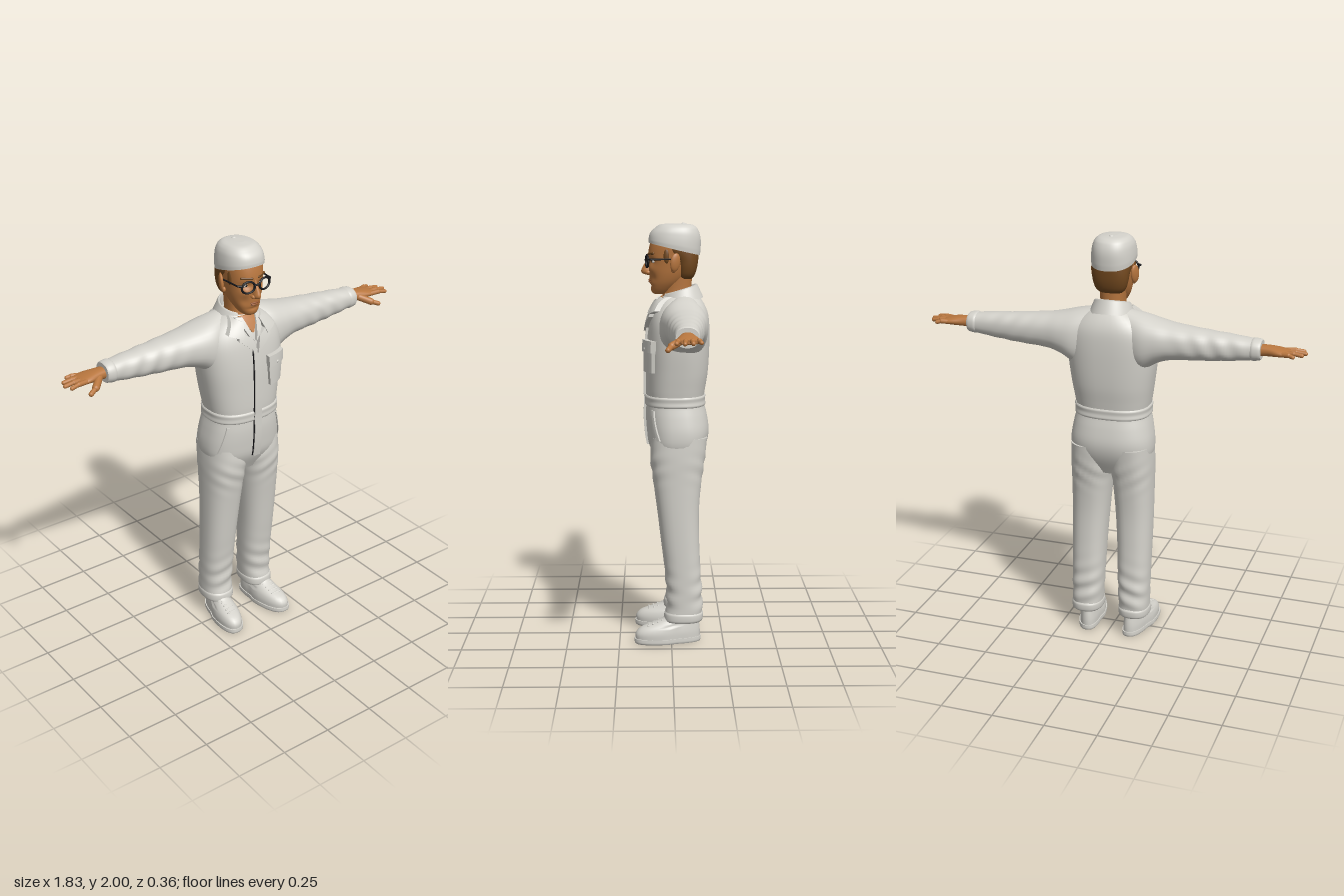
import * as THREE from 'three';
import { mergeVertices } from 'three/addons/utils/BufferGeometryUtils.js';

const mat = (name, color, side = THREE.FrontSide) => {
  const m = new THREE.MeshStandardMaterial({ color, side });
  m.name = name;
  return m;
};

// Smooth value of each key column at position t (keys ascending in column 0)
function sample(keys, t) {
  const n = keys.length;
  let i = 0;
  while (i < n - 2 && t > keys[i + 1][0]) i++;
  const a = keys[i], b = keys[i + 1], h = b[0] - a[0];
  const s = Math.min(1, Math.max(0, (t - a[0]) / h));
  const slope = (k, c) => {
    const p = keys[Math.max(0, k - 1)], q = keys[Math.min(n - 1, k + 1)];
    return (q[c] - p[c]) / (q[0] - p[0]);
  };
  return a.map((v, c) => c === 0 ? t :
    v * (2 * s ** 3 - 3 * s * s + 1) + b[c] * (3 * s * s - 2 * s ** 3) +
    h * slope(i, c) * (s ** 3 - 2 * s * s + s) + h * slope(i + 1, c) * (s ** 3 - s * s));
}

// Closed skin over oval sections. Keys: [t, aMin, aMax, bMin, bMax].
// Axis y: a = x, b = z. Axis x: a = z, b = y.
function loft(keys, { axis = 'y', n = 32, steps = 30, p = 2.3, warp } = {}) {
  const pos = [], idx = [], t0 = keys[0][0], t1 = keys[keys.length - 1][0];
  const put = (t, a, b) => {
    const v = axis === 'y' ? new THREE.Vector3(a, t, b) : new THREE.Vector3(t, b, a);
    if (warp) warp(v);
    pos.push(v.x, v.y, v.z);
  };
  const ring = t => {
    const [, a0, a1, b0, b1] = sample(keys, t);
    for (let j = 0; j < n; j++) {
      const c = Math.cos(j / n * 2 * Math.PI), s = Math.sin(j / n * 2 * Math.PI);
      put(t, (a0 + a1) / 2 + (a1 - a0) / 2 * Math.sign(c) * Math.abs(c) ** (2 / p),
        (b0 + b1) / 2 + (b1 - b0) / 2 * Math.sign(s) * Math.abs(s) ** (2 / p));
    }
  };
  for (let i = 0; i <= steps; i++) ring(t0 + (t1 - t0) * i / steps);
  for (let i = 0; i < steps; i++) for (let j = 0; j < n; j++) {
    const a = i * n + j, b = i * n + (j + 1) % n;
    idx.push(a, a + n, b, b, a + n, b + n);
  }
  for (const [t, top] of [[t0, false], [t1, true]]) {
    const base = pos.length / 3, k = sample(keys, t);
    ring(t);
    put(t, (k[1] + k[2]) / 2, (k[3] + k[4]) / 2);
    for (let j = 0; j < n; j++) {
      const a = base + j, b = base + (j + 1) % n;
      idx.push(base + n, top ? b : a, top ? a : b);
    }
  }
  const g = new THREE.BufferGeometry();
  g.setAttribute('position', new THREE.Float32BufferAttribute(pos, 3));
  g.setIndex(idx);
  g.computeVertexNormals();
  return g;
}

// Same geometry on the other side of x = 0
function mirror(geo) {
  const g = mergeVertices(geo.clone()).applyMatrix4(new THREE.Matrix4().makeScale(-1, 1, 1));
  const ix = g.index;
  for (let i = 0; i < ix.count; i += 3) {
    const a = ix.getX(i);
    ix.setX(i, ix.getX(i + 1));
    ix.setX(i + 1, a);
  }
  return g;
}

const V = (x, y, z) => new THREE.Vector3(x, y, z);
function rod(a, b, r) {
  const d = b.clone().sub(a), g = new THREE.CapsuleGeometry(r, d.length(), 5, 12);
  g.applyQuaternion(new THREE.Quaternion().setFromUnitVectors(V(0, 1, 0), d.normalize()));
  return g.translate((a.x + b.x) / 2, (a.y + b.y) / 2, (a.z + b.z) / 2);
}
const blob = (x, y, z, rx, ry, rz) =>
  new THREE.SphereGeometry(1, 18, 12).scale(rx, ry, rz).translate(x, y, z);

const sym = rows => rows.map(([y, w, z0, z1]) => [y, -w, w, z0, z1]);
const TORSO_P = 2.5;
const torsoKeys = sym([
  [0.86, 0.15, -0.12, 0.06], [0.95, 0.195, -0.165, 0.105], [1.02, 0.2, -0.18, 0.116],
  [1.1, 0.188, -0.17, 0.121], [1.165, 0.175, -0.155, 0.118], [1.21, 0.181, -0.16, 0.121],
  [1.3, 0.195, -0.174, 0.121], [1.42, 0.21, -0.181, 0.117], [1.52, 0.212, -0.181, 0.105],
  [1.58, 0.19, -0.174, 0.088], [1.625, 0.145, -0.155, 0.064], [1.66, 0.085, -0.13, 0.04]]);

// Chest surface depth at (x, y)
function front(x, y) {
  const [, , w, z0, z1] = sample(torsoKeys, y);
  return (z0 + z1) / 2 + (z1 - z0) / 2 * Math.max(0, 1 - Math.min(1, Math.abs(x) / w) ** TORSO_P) ** (1 / TORSO_P);
}
// Cloth panel laid on the chest; corners run counter-clockwise from bottom left
function panel([a, b, c, d], thick) {
  const g = new THREE.BoxGeometry(1, 1, thick, 8, 14, 1), q = g.attributes.position;
  for (let i = 0; i < q.count; i++) {
    const u = q.getX(i) + 0.5, v = q.getY(i) + 0.5;
    const mix = k => (a[k] * (1 - u) + b[k] * u) * (1 - v) + (d[k] * (1 - u) + c[k] * u) * v;
    const x = mix(0), y = mix(1);
    q.setXYZ(i, x, y, front(x, y) + q.getZ(i) + thick * 0.3);
  }
  g.computeVertexNormals();
  return g;
}
const rect = (x0, x1, y0, y1) => [[x0, y0], [x1, y0], [x1, y1], [x0, y1]];

export function createModel() {
  const model = new THREE.Group();
  const cloth = mat('off-white cloth', 0xd4d2cb, THREE.DoubleSide);
  const skin = mat('skin', 0xb9773f), hair = mat('brown hair', 0x73491f);
  const black = mat('black frame', 0x17171a), white = mat('eye white', 0xe6e0d6);
  const lip = mat('lip', 0x94562f);
  const add = (name, geo, m) => {
    const mesh = new THREE.Mesh(geo, m);
    mesh.name = name;
    model.add(mesh);
  };
  const pair = (name, geo, m) => {
    add(name + 'Left', geo, m);
    add(name + 'Right', mirror(geo), m);
  };

  // Overall: torso, waistband, legs and sleeves
  add('torso', loft(torsoKeys, { p: TORSO_P, n: 48, steps: 44 }), cloth);
  add('waistband', loft([1.145, 1.15, 1.17, 1.19, 1.195].map((y, i) => {
    const k = sample(torsoKeys, y), e = i % 4 ? 0.007 : 0.002;
    return [y, k[1] - e, k[2] + e, k[3] - e, k[4] + e];
  }), { p: TORSO_P, n: 48, steps: 10 }), cloth);
  const legFolds = v => {
    const low = Math.exp(-(((v.y - 0.24) / 0.1) ** 2)), high = Math.exp(-(((v.y - 0.86) / 0.07) ** 2));
    v.z += 0.005 * low * Math.sin(v.y * 75 + v.x * 25) + 0.003 * high * Math.sin(v.y * 80 - v.x * 50);
  };
  pair('trouserLeg', loft([
    [0.105, 0.05, 0.193, -0.142, 0.03], [0.14, 0.047, 0.195, -0.148, 0.028], [0.2, 0.044, 0.195, -0.148, 0.022],
    [0.35, 0.037, 0.197, -0.14, 0.032], [0.5, 0.031, 0.199, -0.133, 0.05], [0.65, 0.021, 0.2, -0.132, 0.068],
    [0.8, 0.008, 0.2, -0.145, 0.088], [0.9, -0.003, 0.2, -0.16, 0.1], [1, 0.005, 0.195, -0.17, 0.095]],
  { p: 2.4, steps: 70, warp: legFolds }), cloth);
  pair('trouserHem', loft([[0.105, 0.05, 0.193, -0.143, 0.032], [0.112, 0.045, 0.198, -0.15, 0.036],
    [0.145, 0.044, 0.198, -0.152, 0.033], [0.152, 0.049, 0.193, -0.146, 0.026]], { p: 2.4, steps: 8 }), cloth);
  pair('sleeve', loft([
    [0.08, -0.14, 0.02, 1.4, 1.665], [0.16, -0.167, 0.055, 1.385, 1.648], [0.23, -0.166, 0.05, 1.425, 1.63],
    [0.3, -0.155, 0.035, 1.447, 1.616], [0.45, -0.138, 0.015, 1.458, 1.6], [0.6, -0.12, 0, 1.472, 1.587],
    [0.71, -0.11, -0.01, 1.488, 1.574]],
  { axis: 'x', steps: 50, warp: v => {
    const k = Math.exp(-(((v.x - 0.5) / 0.15) ** 2));
    v.z += 0.003 * k * Math.sin(v.x * 70 + v.y * 40);
  } }), cloth);
  pair('cuff', loft([[0.668, -0.114, -0.006, 1.482, 1.579], [0.675, -0.117, -0.003, 1.48, 1.582],
    [0.705, -0.114, -0.006, 1.484, 1.579], [0.712, -0.11, -0.01, 1.488, 1.575]], { axis: 'x', steps: 8 }), cloth);

  // Front placket, chest pocket and slanted hip pockets
  add('placket', panel(rect(-0.016, 0.024, 0.95, 1.51), 0.014), cloth);
  add('zipLine', panel(rect(-0.0175, -0.0155, 0.955, 1.5), 0.009), black);
  add('chestPocket', panel([[0.072, 1.31], [0.158, 1.31], [0.168, 1.43], [0.062, 1.43]], 0.02), cloth);
  add('pocketFlap', panel([[0.062, 1.405], [0.168, 1.405], [0.17, 1.46], [0.06, 1.46]], 0.03), cloth);
  add('pocketButton', blob(0.115, 1.42, front(0.115, 1.42) + 0.024, 0.007, 0.007, 0.004), cloth);
  pair('hipPocketEdge', panel([[0.17, 0.99], [0.18, 0.99], [0.145, 1.13], [0.135, 1.13]], 0.008), cloth);

  // Collar, lapels and open neck
  add('openNeck', panel([[-0.004, 1.585], [0.004, 1.585], [0.048, 1.657], [-0.048, 1.657]], 0.008), skin);
  pair('shirtCollar', panel([[0.004, 1.55], [0.03, 1.575], [0.068, 1.655], [0.036, 1.655]], 0.02), cloth);
  pair('lapel', panel([[0.002, 1.495], [0.088, 1.565], [0.085, 1.61], [0.022, 1.57]], 0.026), cloth);
  pair('collarLeaf', panel([[0.068, 1.572], [0.13, 1.595], [0.082, 1.66], [0.045, 1.64]], 0.032), cloth);
  const band = new THREE.LatheGeometry([[0.07, 1.6], [0.073, 1.685], [0.08, 1.692], [0.086, 1.685], [0.112, 1.62]]
    .map(q => new THREE.Vector2(...q)), 40, 0.55, Math.PI * 2 - 1.1);
  const bp = band.attributes.position;
  for (let i = 0; i < bp.count; i++) {
    bp.setY(i, bp.getY(i) - bp.getZ(i) * 0.3);
    bp.setZ(i, bp.getZ(i) - 0.04);
  }
  band.computeVertexNormals();
  add('collarBand', band, cloth);

  // Shoes, slightly turned out
  const toeOut = v => {
    const c = 0.127;
    v.x = c + (v.x - c) * (v.z < 0 ? 0.84 : 1) + v.z * 0.13;
  };
  pair('shoeSole', loft([[0, 0.064, 0.19, -0.138, 0.172], [0.006, 0.06, 0.194, -0.142, 0.178],
    [0.025, 0.06, 0.194, -0.142, 0.178]], { p: 2.5, steps: 6, warp: toeOut }), cloth);
  pair('shoeUpper', loft([[0.02, 0.064, 0.19, -0.138, 0.173], [0.05, 0.064, 0.19, -0.138, 0.172],
    [0.075, 0.069, 0.185, -0.136, 0.148], [0.095, 0.076, 0.178, -0.133, 0.095],
    [0.12, 0.083, 0.172, -0.13, 0.04], [0.15, 0.085, 0.17, -0.125, 0.02]], { steps: 18, warp: toeOut }), cloth);
  for (let i = 0; i < 4; i++) {
    const z = 0.04 + i * 0.022, y = 0.115 - i * 0.008, x = 0.127 + z * 0.13;
    pair('shoelace' + (i + 1), rod(V(x - 0.024, y - 0.006, z), V(x + 0.024, y - 0.004, z + 0.004), 0.005), cloth);
  }

  // Hands: palm, four fingers and thumb
  pair('palm', loft([[0.69, -0.092, -0.03, 1.502, 1.556], [0.74, -0.097, -0.024, 1.507, 1.556],
    [0.79, -0.11, -0.014, 1.511, 1.55], [0.83, -0.112, -0.014, 1.515, 1.542],
    [0.845, -0.105, -0.022, 1.52, 1.537]], { axis: 'x', n: 20, steps: 14 }), skin);
  [0.862, 0.896, 0.908, 0.894].forEach((tip, i) => {
    const z = -0.101 + i * 0.0255, end = z + (i - 1.5) * 0.009, mid = (0.82 + tip) / 2;
    pair('fingerBase' + (i + 1), rod(V(0.815, 1.53, z), V(mid, 1.532, (z + end) / 2), 0.0115), skin);
    pair('fingerTip' + (i + 1), rod(V(mid, 1.532, (z + end) / 2), V(tip, 1.527, end), 0.0095), skin);
  });
  pair('thumbBase', rod(V(0.745, 1.525, -0.035), V(0.788, 1.505, 0.008), 0.017), skin);
  pair('thumbTip', rod(V(0.788, 1.505, 0.008), V(0.822, 1.492, 0.024), 0.0115), skin);

  // Neck and head
  add('neck', loft(sym([[1.56, 0.06, -0.1, 0.055], [1.63, 0.06, -0.1, 0.05], [1.68, 0.057, -0.096, 0.036],
    [1.77, 0.062, -0.1, 0.03]]), { steps: 12 }), skin);
  add('head', loft(sym([[1.668, 0.022, 0.03, 0.078], [1.676, 0.036, 0.005, 0.09], [1.695, 0.05, -0.02, 0.096],
    [1.725, 0.065, -0.055, 0.1], [1.76, 0.075, -0.085, 0.103], [1.8, 0.081, -0.105, 0.105],
    [1.85, 0.086, -0.117, 0.108], [1.9, 0.088, -0.122, 0.1], [1.94, 0.08, -0.11, 0.085]]),
  { n: 56, steps: 50, warp: v => {
    if (v.z < 0.03) return;
    const dent = (x, y, rx, ry) => Math.exp(-(((Math.abs(v.x) - x) / rx) ** 2) - ((v.y - y) / ry) ** 2);
    v.z += -0.014 * dent(0.038, 1.822, 0.022, 0.016) + 0.005 * dent(0.045, 1.785, 0.02, 0.016)
      - 0.006 * dent(0.045, 1.745, 0.016, 0.02) - 0.006 * dent(0, 1.707, 0.03, 0.007);
  } }), skin);
  add('nose', loft(sym([[1.757, 0.006, 0.09, 0.112], [1.763, 0.015, 0.085, 0.132], [1.776, 0.017, 0.085, 0.141],
    [1.795, 0.013, 0.085, 0.134], [1.825, 0.01, 0.08, 0.117], [1.855, 0.008, 0.08, 0.106]]),
  { n: 20, steps: 18, p: 2 }), skin);
  pair('nostril', blob(0.015, 1.769, 0.108, 0.01, 0.01, 0.014), skin);
  add('upperLip', blob(0, 1.735, 0.1, 0.026, 0.005, 0.007), lip);
  add('lowerLip', blob(0, 1.726, 0.098, 0.022, 0.005, 0.008), lip);
  pair('eye', blob(0.039, 1.822, 0.08, 0.016, 0.009, 0.011), white);
  pair('pupil', blob(0.039, 1.822, 0.088, 0.006, 0.006, 0.0045), black);
  pair('eyebrow', rod(V(0.018, 1.856, 0.105), V(0.062, 1.86, 0.084), 0.006), hair);
  pair('ear', blob(0, 0, 0, 0.011, 0.043, 0.025).rotateY(0.45).rotateX(-0.15).translate(0.1, 1.82, -0.018), skin);
  pair('earlobe', blob(0.093, 1.785, -0.01, 0.01, 0.014, 0.012), skin);
  add('hair', loft(sym([[1.74, 0.055, -0.098, -0.03], [1.755, 0.07, -0.11, -0.025], [1.79, 0.082, -0.122, -0.02],
    [1.83, 0.088, -0.128, -0.005], [1.87, 0.093, -0.13, 0.045], [1.91, 0.092, -0.128, 0.06]]),
  { steps: 18 }), hair);
  pair('sideburn', blob(0.081, 1.85, 0.022, 0.009, 0.036, 0.014), hair);

  // Cap, lower at the back, with a top button
  add('cap', loft(sym([[1.883, 0.1, -0.136, 0.106], [1.905, 0.101, -0.139, 0.106], [1.94, 0.097, -0.139, 0.1],
    [1.965, 0.09, -0.13, 0.087], [1.985, 0.075, -0.112, 0.066], [1.994, 0.055, -0.09, 0.045],
    [1.997, 0.02, -0.05, 0.01]]), { n: 48, steps: 40, warp: v => {
    v.y += 0.24 * v.z * Math.min(1, Math.max(0, (1.975 - v.y) / 0.09));
  } }), cloth);
  add('capButton', blob(0, 1.994, -0.058, 0.011, 0.007, 0.011), cloth);

  // Glasses
  pair('glassesRim', new THREE.TorusGeometry(0.03, 0.005, 10, 32).scale(1.08, 0.9, 1)
    .rotateY(0.18).translate(0.045, 1.822, 0.113), black);
  pair('glassesHinge', rod(V(0.075, 1.832, 0.107), V(0.09, 1.833, 0.095), 0.005), black);
  pair('glassesTemple', rod(V(0.09, 1.833, 0.095), V(0.098, 1.835, -0.015), 0.004), black);
  add('glassesBridge', rod(V(-0.013, 1.828, 0.12), V(0.013, 1.828, 0.12), 0.0045), black);
  return model;
}
